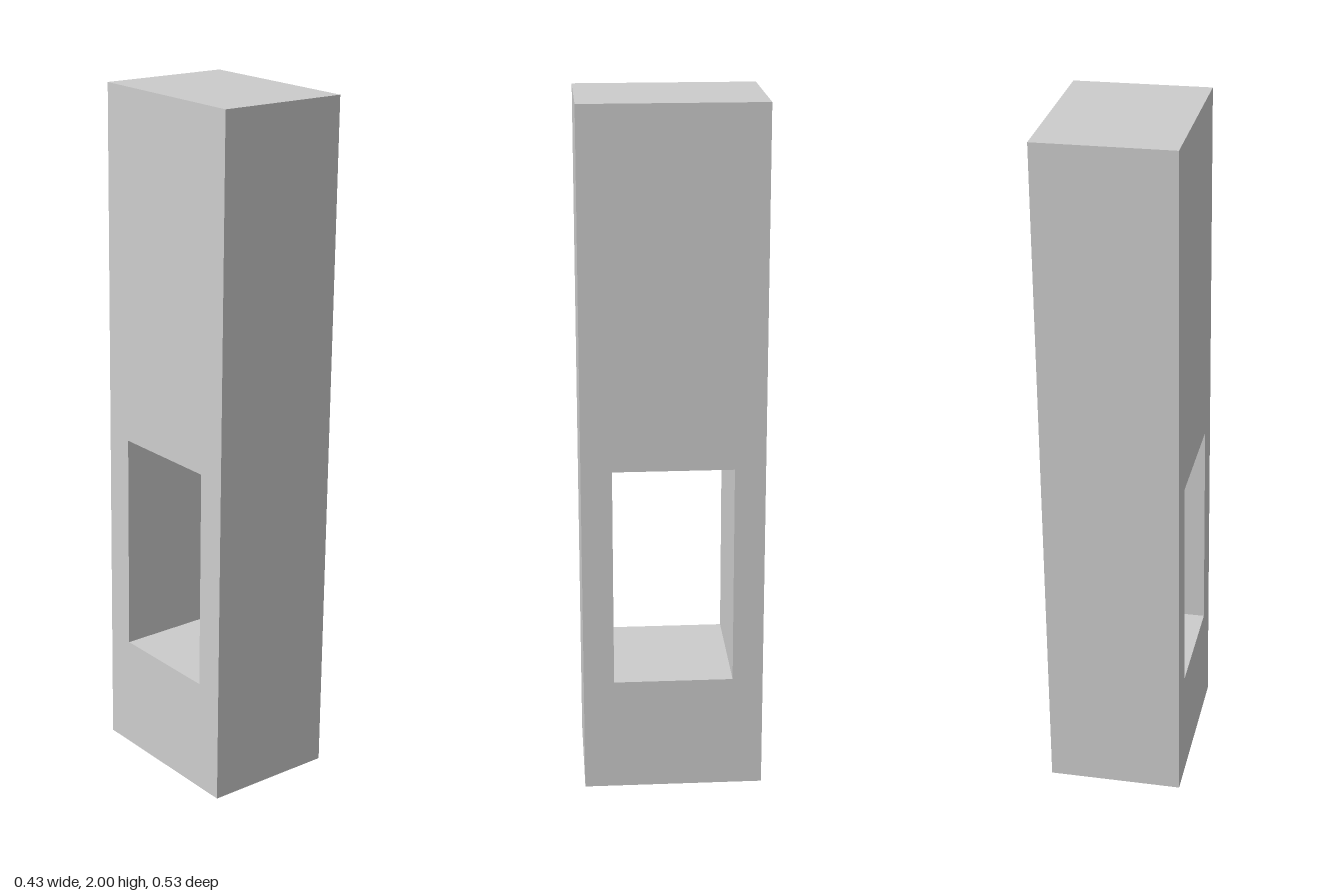
import * as THREE from 'three';

// Rectangle outline, centred on x, from y0 to y1
function rect(PathType, width, y0, y1) {
  const h = width / 2;
  return new PathType([
    new THREE.Vector2(-h, y0), new THREE.Vector2(h, y0),
    new THREE.Vector2(h, y1), new THREE.Vector2(-h, y1),
  ]);
}

export function createModel() {
  const group = new THREE.Group();
  group.name = 'mortisedPost';
  const width = 0.39, depth = 0.518, height = 1.994;

  // Side profile with the rectangular through-slot
  const profile = rect(THREE.Shape, depth, -height / 2, height / 2);
  profile.holes.push(rect(THREE.Path, 0.343, -0.664, -0.022));

  // Extruded across the width, so the slot runs from side to side
  const geometry = new THREE.ExtrudeGeometry(profile, { depth: width, bevelEnabled: false });
  geometry.translate(0, 0, -width / 2);
  geometry.rotateY(Math.PI / 2);

  const post = new THREE.Mesh(
    geometry,
    new THREE.MeshStandardMaterial({ color: 0xcccccc, flatShading: true }),
  );
  post.name = 'post';
  // Slight lean and twist
  post.rotation.set(0.0012, 0.031, -0.0133, 'YZX');
  post.position.y = 1;
  group.add(post);
  return group;
}
